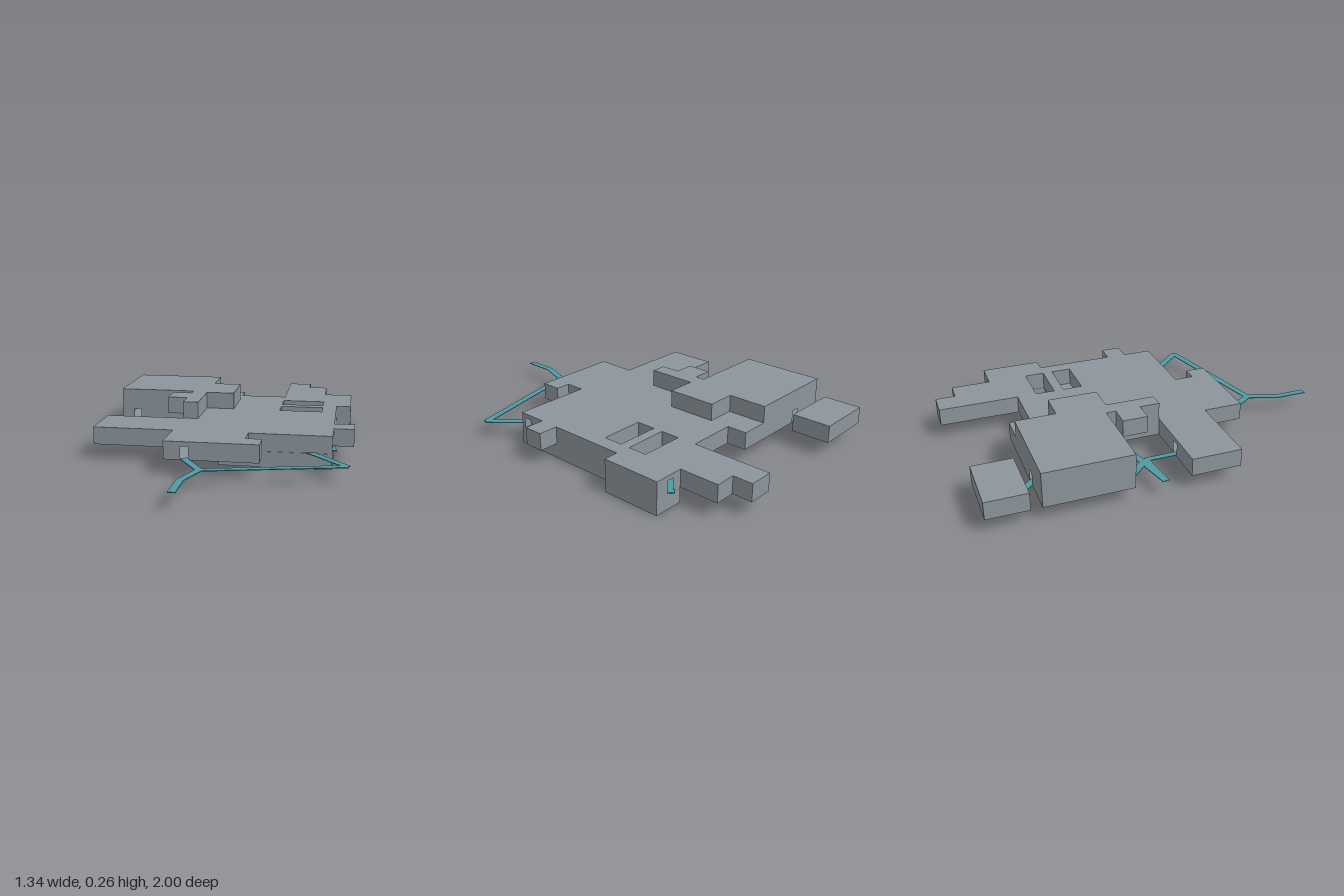
import * as THREE from 'three';
import { mergeGeometries } from 'three/addons/utils/BufferGeometryUtils.js';

const stone = new THREE.MeshStandardMaterial({ color: 0x8c959c, side: THREE.DoubleSide });
stone.name = 'grey stone';
const teal = new THREE.MeshStandardMaterial({ color: 0x4f9aa6, side: THREE.DoubleSide });
teal.name = 'teal path';

const vectors = (points, sign = 1) => points.map(([x, z]) => new THREE.Vector2(x, sign * z));

// Floor or roof plate over a plan outline given as x, z pairs
function plate(outline, holes, y, up) {
  const sign = up ? -1 : 1;
  const shape = new THREE.Shape(vectors(outline, sign));
  holes.forEach((h) => shape.holes.push(new THREE.Path(vectors(h, sign))));
  return new THREE.ShapeGeometry(shape).rotateX(sign * Math.PI / 2).translate(0, y, 0);
}

const rect = (x0, y0, x1, y1) => [[x0, y0], [x1, y0], [x1, y1], [x0, y1]];

// Upright wall from a to b, with an opening for every door that lies on it
function wall(a, b, y0, y1, doors) {
  const length = Math.hypot(a[0] - b[0], a[1] - b[1]);
  const ux = (a[0] - b[0]) / length, uz = (a[1] - b[1]) / length;
  const shape = new THREE.Shape(vectors(rect(0, 0, length, y1 - y0)));
  for (const [x, z] of doors) {
    const dx = x - b[0], dz = z - b[1];
    const along = dx * ux + dz * uz;
    if (Math.abs(dx * uz - dz * ux) < 0.004 && along > 0.03 && along < length - 0.03) {
      shape.holes.push(new THREE.Path(vectors(rect(along - 0.02, 0.005, along + 0.02, 0.068))));
    }
  }
  return new THREE.ShapeGeometry(shape)
    .rotateY(Math.atan2(-uz, ux)).translate(b[0], y0, b[1]);
}

// Hollow storey: floor, roof, outer walls and shaft walls
function storey(name, outline, y0, y1, holes = [], doors = []) {
  const parts = [plate(outline, holes, y0, false), plate(outline, holes, y1, true)];
  const loops = [outline, ...holes.map((h) => [...h].reverse())];
  for (const loop of loops) {
    loop.forEach((p, i) => parts.push(wall(p, loop[(i + 1) % loop.length], y0, y1, doors)));
  }
  const mesh = new THREE.Mesh(mergeGeometries(parts), stone);
  mesh.name = name;
  return mesh;
}

// Flat strip following a polyline on the ground of the middle storey
function path(name, points, width = 0.036) {
  const parts = [];
  for (let i = 0; i < points.length - 1; i++) {
    const [x0, z0] = points[i], [x1, z1] = points[i + 1];
    const length = Math.hypot(x1 - x0, z1 - z0);
    parts.push(new THREE.BoxGeometry(length + 0.008, 0.004, width)
      .rotateY(Math.atan2(z0 - z1, x1 - x0))
      .translate((x0 + x1) / 2, 0.083, (z0 + z1) / 2));
  }
  const mesh = new THREE.Mesh(mergeGeometries(parts), teal);
  mesh.name = name;
  return mesh;
}

export function createModel() {
  const model = new THREE.Group();
  model.name = 'buildingComplex';

  // Plans, listed clockwise as seen from above
  const lower = [
    [-0.015, -0.37], [0.48, -0.37], [0.48, -0.685], [0.64, -0.685],
    [0.64, -0.37], [0.56, -0.37], [0.56, 0.308], [-0.015, 0.308],
  ];
  const middle = [
    [-0.667, -0.687], [-0.015, -0.687], [-0.015, -0.58], [0.245, -0.58], [0.245, -1], [0.375, -1],
    [0.375, -0.895], [0.482, -0.895], [0.482, -0.687], [0.64, -0.687], [0.64, -0.37], [0.56, -0.37],
    [0.56, 0.045], [0.665, 0.045], [0.665, 0.15], [0.56, 0.15], [0.56, 0.305], [0.14, 0.305],
    [0.14, 0.408], [0.222, 0.408], [0.222, 0.515], [-0.248, 0.515], [-0.248, 0.305], [-0.667, 0.305],
    [-0.667, 0.045], [-0.248, 0.045], [-0.248, -0.24], [-0.667, -0.24],
  ];
  const upper = [
    [-0.667, -0.687], [-0.167, -0.687], [-0.167, -0.477], [-0.013, -0.477], [-0.013, -0.215],
    [-0.167, -0.215], [-0.167, 0.045], [-0.248, 0.045], [-0.248, -0.06], [-0.355, -0.06],
    [-0.355, -0.19], [-0.248, -0.19], [-0.248, -0.24], [-0.667, -0.24],
  ];
  const shafts = [rect(0.247, -0.477, 0.482, -0.375), rect(0.247, -0.322, 0.482, -0.218)];
  const doors = [[-0.143, 0.515], [0.56, 0.26], [-0.58, -0.24], [-0.46, 0.045], [0.55, -0.687], [-0.46, -0.687]];

  model.add(
    storey('lowerStorey', lower, 0, 0.08),
    storey('middleStorey', middle, 0.08, 0.172, shafts, doors),
    storey('upperStorey', upper, 0.172, 0.262),
    storey('detachedRoom', rect(-0.667, -0.95, -0.355, -0.742), 0.08, 0.172, [], [[-0.51, -0.742]]),
  );

  // Paths joining the doors
  model.add(
    path('frontPath', [[-0.095, 0.996], [-0.095, 0.83], [-0.04, 0.67], [-0.15, 0.5]]),
    path('longPath', [[-0.04, 0.67], [0.635, 0.51], [0.43, 0.28]]),
    path('sidePath', [[0.562, 0.25], [0.545, 0.12]]),
    path('courtPath', [[-0.663, -0.088], [-0.46, -0.135], [-0.2, -0.2]]),
    path('courtSpur', [[-0.663, -0.088], [-0.46, -0.11], [-0.46, 0.07]], 0.03),
    path('courtBranch', [[-0.59, -0.25], [-0.47, -0.12]]),
    path('rearPath', [[-0.52, -0.755], [-0.44, -0.67]]),
    path('innerPath', [[0.2, -0.4], [0.55, -0.69]]),
  );
  return model;
}
